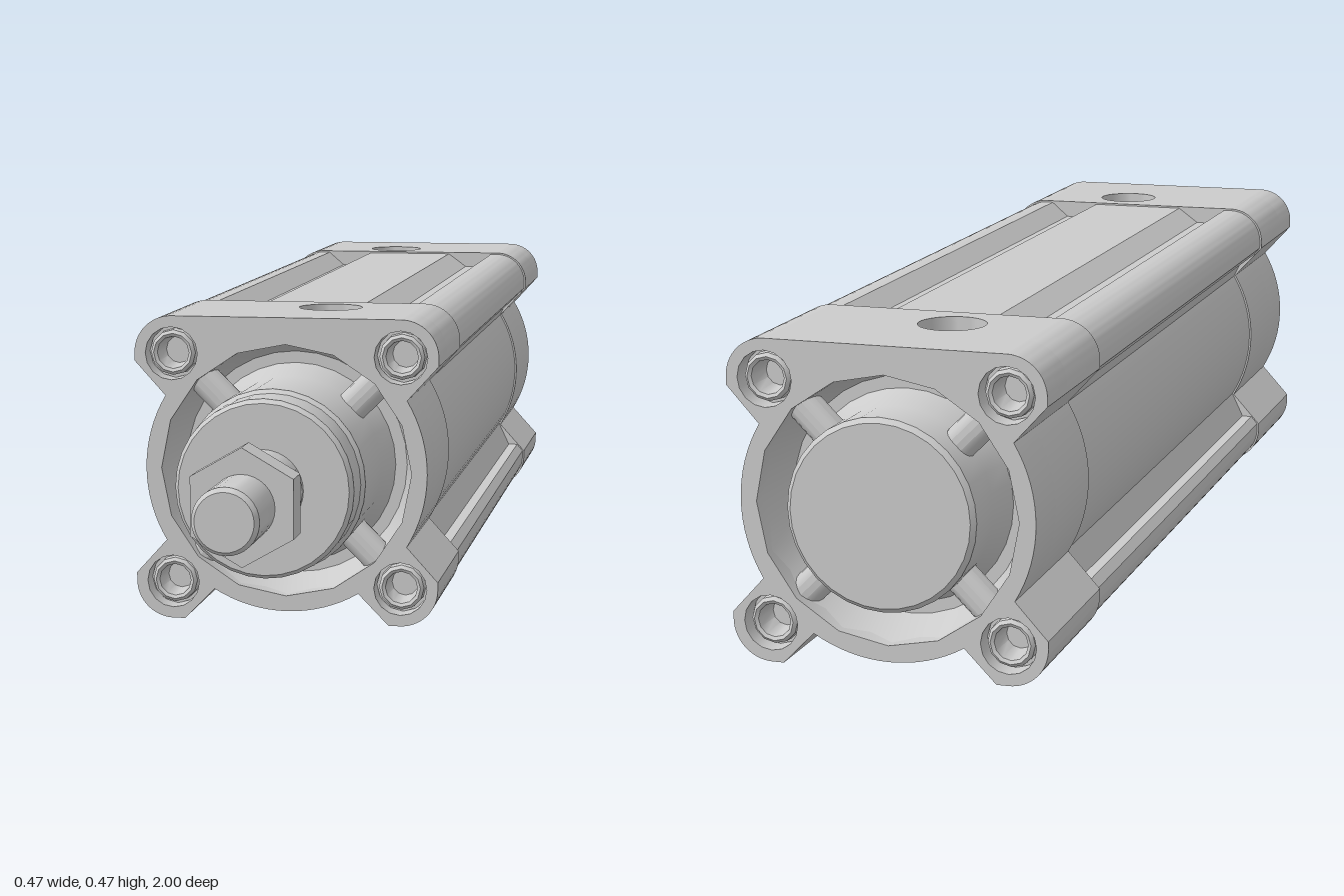
import * as THREE from 'three';
import { toCreasedNormals } from 'three/addons/utils/BufferGeometryUtils.js';

const CY = 0.236;        // height of the cylinder axis
const TOP = 0.472;
const CAP = 0.25;        // end cap length
const FLOOR = 0.16;      // recess floor inside a cap
const EAR_X = 0.178, EAR_DY = 0.178;
const DEG = Math.PI / 180;
const mat = new THREE.MeshStandardMaterial({ color: 0xcccccc });

function mesh(name, geo, crease = 0.6) {
  const g = toCreasedNormals(geo, crease);
  g.clearGroups();
  const m = new THREE.Mesh(g, mat);
  m.name = name;
  return m;
}

// Turned part along z; points are [radius, z], running from the back to the front axis
function turned(name, pts, segs = 32) {
  const g = new THREE.LatheGeometry(pts.map(p => new THREE.Vector2(p[0], p[1])), segs);
  g.rotateX(Math.PI / 2);
  return mesh(name, g);
}

function extrude(shape, depth, z) {
  const g = new THREE.ExtrudeGeometry(shape, { depth, bevelEnabled: false, curveSegments: 8 });
  g.translate(0, 0, z);
  return g;
}

// Round body with four ears and a flat top; the barrel version has slots and ear ledges
function outline(inset, barrel) {
  const s = new THREE.Shape();
  const r = 0.219 - inset, er = 0.058 - inset;
  const loY = CY - EAR_DY, hiY = CY + EAR_DY, top = TOP - inset;
  const line = (...pts) => pts.forEach(p => s.lineTo(p[0], p[1]));
  const body = a => s.absarc(0, CY, r, (a - 31) * DEG, (a + 31) * DEG, false);
  const ear = (x, y, a) => s.absarc(x, y, er, a * DEG, (a + 90) * DEG, false);
  const ledge = (side, y) => [[side * 0.222, y], [side * 0.205, y]];

  body(-90);
  line([0.16, inset]);
  ear(EAR_X, loY, -90);
  line([0.236 - inset, 0.07]);
  if (barrel) line(...ledge(1, 0.083));
  body(0);
  if (barrel) line(...ledge(1, 0.389).reverse());
  line([0.236 - inset, 0.402]);
  ear(EAR_X, hiY, 0);
  if (barrel) {
    const slot = [[0.165, top], [0.136, top - 0.025], [0.114, top - 0.025], [0.08, top]];
    line(...slot, ...slot.map(p => [-p[0], p[1]]).reverse());
  }
  ear(-EAR_X, hiY, 90);
  line([-0.236 + inset, 0.402]);
  if (barrel) line(...ledge(-1, 0.389));
  body(180);
  if (barrel) line(...ledge(-1, 0.083).reverse());
  line([-0.236 + inset, 0.07]);
  ear(-EAR_X, loY, 180);
  line([-0.16, inset]);
  return s;
}

// Drops the flat top strip so that a plate with a port can take its place
function withoutTop(geo) {
  const p = geo.attributes.position, keep = [];
  for (let i = 0; i < p.count; i += 3) {
    if ([0, 1, 2].every(k => Math.abs(p.getY(i + k) - TOP) < 1e-4)) continue;
    for (let k = 0; k < 3; k++) keep.push(p.getX(i + k), p.getY(i + k), p.getZ(i + k));
  }
  const g = new THREE.BufferGeometry();
  g.setAttribute('position', new THREE.Float32BufferAttribute(keep, 3));
  return g;
}

function circleHole(x, y, r) {
  const h = new THREE.Path();
  h.absarc(x, y, r, 0, Math.PI * 2, true);
  return h;
}

// End cap: inner face at z = 0, open recess towards +z
function endCap(name) {
  const cap = new THREE.Group();
  cap.name = name;
  cap.add(mesh('capBlock', withoutTop(extrude(outline(0, false), FLOOR, 0))));

  const rim = outline(0, false);
  rim.holes.push(circleHole(0, CY, 0.195));
  const bolts = [];
  for (const x of [-1, 1]) for (const y of [-1, 1]) bolts.push([x * EAR_X, CY + y * EAR_DY]);
  bolts.forEach(([x, y]) => rim.holes.push(circleHole(x, y, 0.041)));
  cap.add(mesh('capRim', withoutTop(extrude(rim, CAP - FLOOR, FLOOR))));

  // Top plate and the air port sunk into it
  const plate = new THREE.Shape();
  plate.moveTo(-EAR_X, -CAP).lineTo(EAR_X, -CAP).lineTo(EAR_X, 0).lineTo(-EAR_X, 0);
  plate.holes.push(circleHole(0.04, -0.08, 0.05));
  const plateGeo = new THREE.ShapeGeometry(plate, 16);
  plateGeo.rotateX(-Math.PI / 2);
  plateGeo.translate(0, TOP, 0);
  cap.add(mesh('topPlate', plateGeo));
  const portPts = [[0.05, TOP], [0.05, 0.37], [0, 0.37]].map(p => new THREE.Vector2(...p));
  const port = mesh('airPort', new THREE.LatheGeometry(portPts, 32));
  port.position.set(0.04, 0, 0.08);
  cap.add(port);

  // Sloped recess wall
  const wall = turned('recessWall', [[0.195, CAP - 0.015], [0.175, FLOOR]]);
  wall.position.y = CY;
  cap.add(wall);

  // Rounded ribs across the recess
  for (let i = 0; i < 4; i++) {
    const a = (45 + i * 90) * DEG;
    const rib = mesh('recessRib', new THREE.CylinderGeometry(0.025, 0.025, 0.075, 16));
    rib.position.set(Math.cos(a) * 0.163, CY + Math.sin(a) * 0.163, CAP - 0.04);
    rib.rotation.z = a - Math.PI / 2;
    cap.add(rib);
  }

  // Socket bolts in the ears
  bolts.forEach(([x, y]) => {
    const bolt = turned('tieBolt', [[0.041, -0.03], [0.036, -0.03], [0.035, -0.014], [0.03, -0.009],
      [0.025, -0.012], [0.021, -0.055], [0, -0.055]], 12);
    bolt.position.set(x, y, CAP);
    cap.add(bolt);
  });
  return cap;
}

export function createModel() {
  const model = new THREE.Group();
  model.name = 'pneumaticCylinder';
  model.add(mesh('barrel', extrude(outline(0.003, true), 1.045, -0.725)));

  const front = endCap('frontCap');
  front.position.z = 0.32;
  const rear = endCap('rearCap');
  rear.position.z = -0.725;
  rear.rotation.y = Math.PI;
  model.add(front, rear);

  // Hubs rising out of the recesses
  const rearHub = turned('rearHub', [[0.157, FLOOR], [0.14, 0.2], [0.14, 0.268], [0.133, 0.275], [0, 0.275]]);
  rearHub.position.y = CY;
  rear.add(rearHub);

  const axis = new THREE.Group();
  axis.name = 'rodAssembly';
  axis.position.y = CY;
  model.add(axis);
  axis.add(turned('frontHub', [[0.157, 0.48], [0.14, 0.52], [0.14, 0.665], [0.134, 0.672],
    [0.134, 0.73], [0.128, 0.738], [0, 0.738]]));
  axis.add(turned('rodCollar', [[0.06, 0.73], [0.06, 0.748], [0, 0.748]]));

  // Piston rod with two wrench flats
  const flat = Math.acos(0.05 / 0.06);
  const rod = new THREE.Shape();
  rod.absarc(0, 0, 0.06, flat, Math.PI - flat, false);
  rod.absarc(0, 0, 0.06, Math.PI + flat, -flat, false);
  axis.add(mesh('pistonRod', extrude(rod, 0.055, 0.745)));

  axis.add(turned('threadedEnd', [[0, 0.795], [0.05, 0.8], [0.035, 0.818], [0.035, 0.828],
    [0.048, 0.84], [0.048, 0.992], [0.042, 1], [0, 1]]));

  // Hexagonal lock nut, points up and down
  const nutGeo = new THREE.CylinderGeometry(0.086, 0.086, 0.05, 6);
  nutGeo.rotateX(Math.PI / 2);
  nutGeo.translate(0, 0, 0.862);
  axis.add(mesh('lockNut', nutGeo));
  return model;
}
